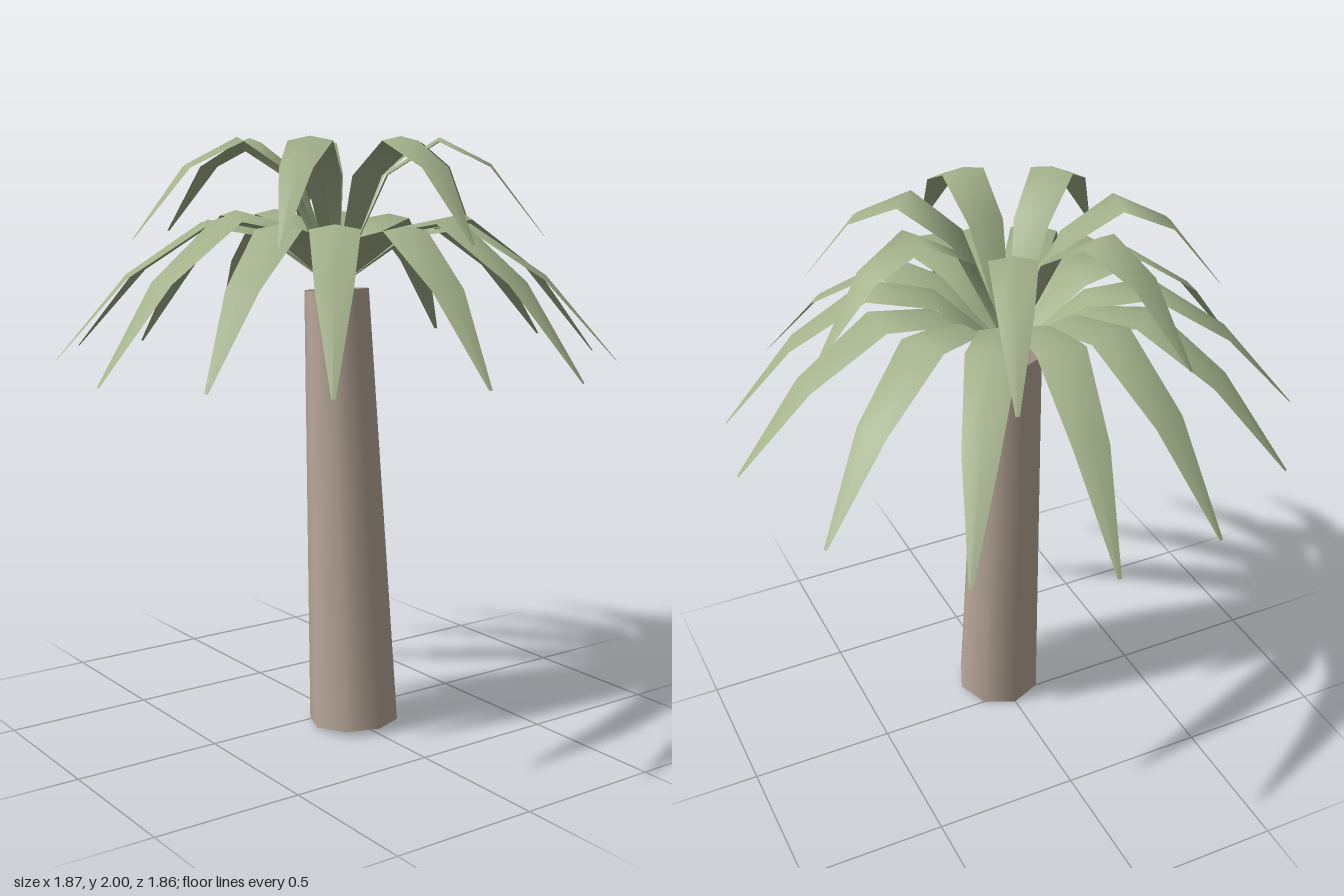
import * as THREE from 'three';

const bark = new THREE.MeshStandardMaterial({ color: 0xb9a899, side: THREE.DoubleSide });
bark.name = 'bark';
const leafGreen = new THREE.MeshStandardMaterial({ color: 0xa3b18a, side: THREE.DoubleSide });
leafGreen.name = 'leafGreen';

// Bent frond blade along +x with a raised midrib; each section is [reach, ribHeight, halfWidth]
function frondGeometry(sections) {
  const positions = [];
  const index = [];
  sections.forEach(([r, y, w], i) => {
    const edge = y - 0.2 * w;
    positions.push(r, edge, -w, r, y, 0, r, edge, w);
    if (i === 0) return;
    for (const a of [3 * i - 3, 3 * i - 2]) {
      index.push(a, a + 1, a + 4, a, a + 4, a + 3);
    }
  });
  const g = new THREE.BufferGeometry();
  g.setAttribute('position', new THREE.Float32BufferAttribute(positions, 3));
  g.setIndex(index);
  g.computeVertexNormals();
  return g;
}

// Ring of fronds; each is [degrees from +x towards +z, strength of the bend]
function frondRing(name, sections, fronds) {
  const ring = new THREE.Group();
  ring.name = name;
  const geometry = frondGeometry(sections);
  for (const [angle, bend] of fronds) {
    const frond = new THREE.Mesh(geometry, leafGreen);
    frond.name = 'frond';
    frond.rotation.y = -THREE.MathUtils.degToRad(angle);
    frond.scale.y = bend;
    ring.add(frond);
  }
  ring.position.y = 1.5;
  return ring;
}

export function createModel() {
  const tree = new THREE.Group();
  tree.name = 'palmTree';

  // Leaning, tapered, hollow eight-sided trunk
  const height = 1.49;
  const trunkGeometry = new THREE.CylinderGeometry(0.11, 0.153, height, 8, 2, true);
  trunkGeometry.translate(0, height / 2, 0);
  const trunk = new THREE.Mesh(trunkGeometry, bark);
  trunk.name = 'trunk';
  trunk.position.set(0, 0.01, 0.104);
  trunk.rotation.x = -Math.atan2(0.102, height);
  tree.add(trunk);

  // Wide drooping lower crown
  tree.add(frondRing('lowerFronds',
    [[0, 0, 0.01], [0.12, 0.1, 0.04], [0.24, 0.2, 0.069], [0.45, 0.238, 0.079], [0.7, 0.06, 0.056], [0.935, -0.235, 0.006]],
    [[-0.6, 0.92], [21.4, 1.02], [49, 0.92], [72.5, 1.02], [97.4, 0.94], [125.9, 0.97], [148.5, 0.96],
      [175, 1.05], [203.3, 0.94], [229, 0.94], [253.9, 1.05], [276.1, 1.05], [302.3, 1.05], [330.4, 0.98]]));

  // Shorter, taller upper crown
  tree.add(frondRing('upperFronds',
    [[0, 0, 0.01], [0.17, 0.385, 0.06], [0.34, 0.496, 0.073], [0.51, 0.41, 0.053], [0.69, 0.175, 0.006]],
    [-9.2, 40.3, 89.2, 139, 195, 245.3, 293.8].map((angle) => [angle, 1])));

  return tree;
}
